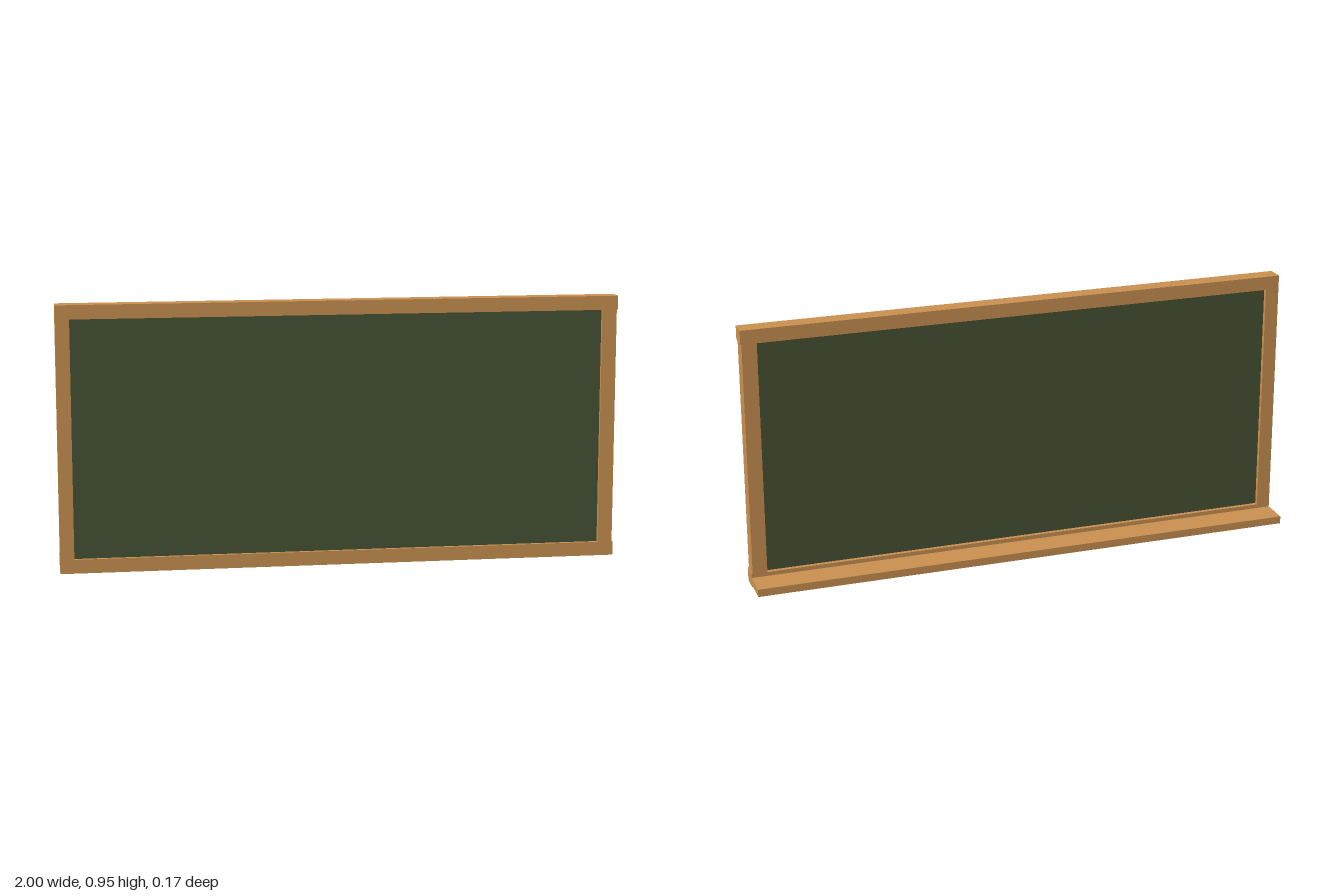
import * as THREE from 'three';

export function createModel() {
  const model = new THREE.Group();
  const wood = new THREE.MeshStandardMaterial({ color: 0xc88f50 });
  const slate = new THREE.MeshStandardMaterial({ color: 0x465233 });

  // Box given by its minimum and maximum corners
  function addBox(name, material, [x0, y0, z0], [x1, y1, z1]) {
    const mesh = new THREE.Mesh(new THREE.BoxGeometry(x1 - x0, y1 - y0, z1 - z0), material);
    mesh.position.set((x0 + x1) / 2, (y0 + y1) / 2, (z0 + z1) / 2);
    mesh.name = name;
    model.add(mesh);
  }

  const back = 0.02, front = 0.083, height = 0.95, rail = 0.05;

  // Frame: full-width rails with the stiles between them
  addBox('bottomRail', wood, [-1, 0, back], [1, rail, front]);
  addBox('topRail', wood, [-1, height - rail, back], [1, height, front]);
  addBox('rightStile', wood, [-1, rail, back], [-0.95, height - rail, front]);
  addBox('leftStile', wood, [0.943, rail, back], [0.996, height - rail, front]);

  // Writing panel, recessed on both faces
  addBox('writingPanel', slate, [-0.96, rail - 0.01, 0.035], [0.955, height - rail + 0.01, 0.07]);

  // Chalk ledge along the back
  addBox('chalkLedge', wood, [-1, 0.007, -0.083], [1, 0.035, back]);

  return model;
}
